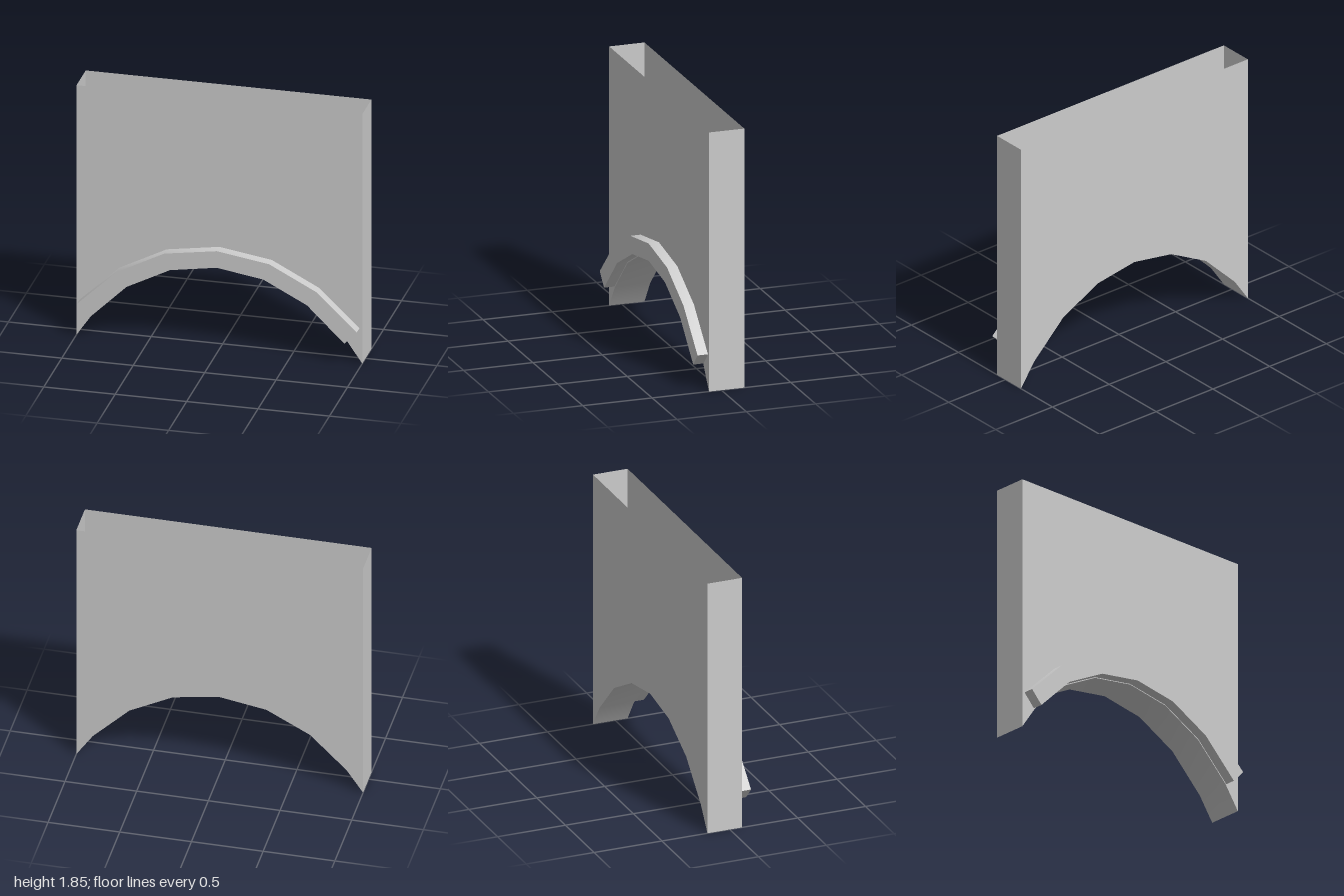
import * as THREE from 'three';

const BACK = -0.165, FACE = 0.09, TRIM = 0.165, TOP = 1.85;

// Mirror a half profile (outer end to centre) into a full left-to-right curve
const mirror = half => [
  ...half.map(([x, y]) => [-x, y]),
  ...half.slice(0, -1).reverse(),
];

const archLine = mirror([[1, 0], [0.885, 0.167], [0.63, 0.418], [0.325, 0.577], [0, 0.63]]);
const trimInner = mirror([[0.893, 0.168], [0.632, 0.424], [0.327, 0.582], [0, 0.635]]);
const trimOuter = mirror([[0.98, 0.26], [0.7, 0.528], [0.368, 0.7], [0, 0.758]]);

// Smooth band along a counter-clockwise run of points, from depth z0 to z1
function band(points, z0, z1) {
  const pos = [], index = [];
  points.forEach(([x, y], i) => {
    pos.push(x, y, z0, x, y, z1);
    const a = i * 2;
    if (i < points.length - 1) index.push(a, a + 2, a + 1, a + 1, a + 2, a + 3);
  });
  const geo = new THREE.BufferGeometry();
  geo.setAttribute('position', new THREE.Float32BufferAttribute(pos, 3));
  geo.setIndex(index);
  geo.computeVertexNormals();
  return geo;
}

// Flat face filling an outline at depth z
function face(points, z) {
  const shape = new THREE.Shape(points.map(([x, y]) => new THREE.Vector2(x, y)));
  return new THREE.ShapeGeometry(shape).translate(0, 0, z);
}

export function createModel() {
  const model = new THREE.Group();
  model.name = 'archedWall';
  const material = new THREE.MeshStandardMaterial({ color: 0xcccccc, side: THREE.DoubleSide });
  const add = (parent, name, geometry) => {
    const mesh = new THREE.Mesh(geometry, material);
    mesh.name = name;
    parent.add(mesh);
    return mesh;
  };

  // Hollow wall, open at the top
  const wall = new THREE.Group();
  wall.name = 'wall';
  const outline = [...archLine, [1, TOP], [-1, TOP]];
  add(wall, 'wallFront', face(outline, FACE));
  const back = face(outline, 0).rotateY(Math.PI).translate(0, 0, BACK);
  add(wall, 'wallBack', back);
  add(wall, 'wallLeftSide', band([[1, 0], [1, TOP]], BACK, FACE));
  add(wall, 'wallRightSide', band([[-1, TOP], [-1, 0]], BACK, FACE));
  add(wall, 'archUnderside', band(archLine, BACK, FACE));

  // Raised trim following the arch
  const trim = new THREE.Group();
  trim.name = 'archTrim';
  const outerBack = [...trimOuter].reverse();
  const last = trimInner.length - 1;
  add(trim, 'trimFront', face([...trimInner, ...outerBack], TRIM));
  add(trim, 'trimUnderside', band(trimInner, FACE, TRIM));
  add(trim, 'trimTop', band(outerBack, FACE, TRIM));
  add(trim, 'trimLeftEnd', band([trimInner[last], trimOuter[last]], FACE, TRIM));
  add(trim, 'trimRightEnd', band([trimOuter[0], trimInner[0]], FACE, TRIM));

  model.add(wall, trim);
  return model;
}
